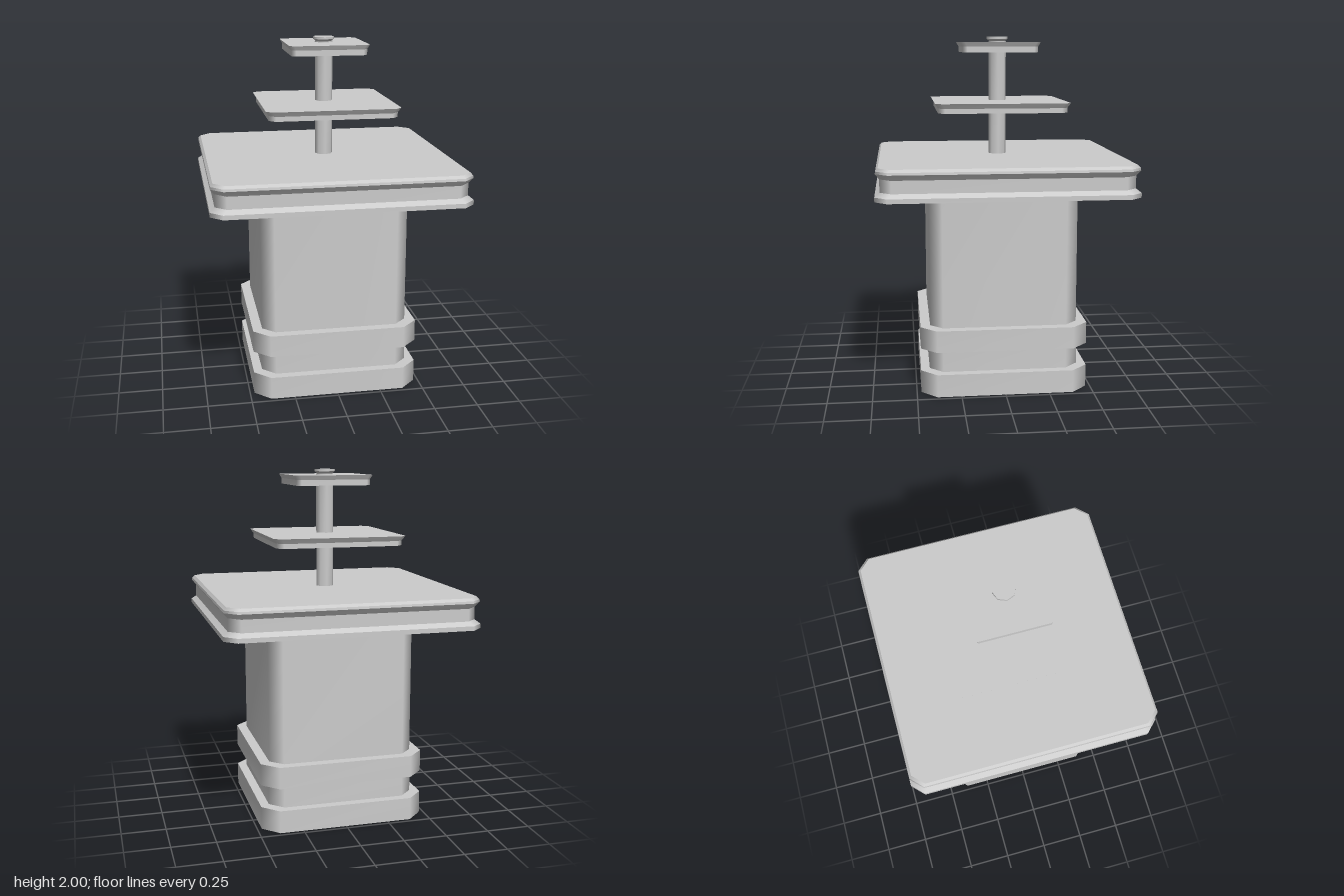
import * as THREE from 'three';

const grey = new THREE.MeshStandardMaterial({ color: 0xcccccc, side: THREE.DoubleSide });

// Square with cut corners: half width r, corner cut c, counter-clockwise from above
function ring(r, c) {
  const k = r - c;
  return [[r, k], [r, -k], [k, -r], [-k, -r], [-r, -k], [-r, k], [-k, r], [k, r]];
}

// Regular octagon with corners on the axes
function octagon(r) {
  return Array.from({ length: 8 }, (_, i) => [r * Math.cos(i * Math.PI / 4), -r * Math.sin(i * Math.PI / 4)]);
}

// Loft a profile of [radius, y, corner] upward; each band is smooth around, crisp to its neighbours
function loft(name, profile, outline = ring) {
  const pos = [], index = [];
  for (let j = 0; j + 1 < profile.length; j++) {
    const base = pos.length / 3;
    for (const [r, y, c = 0] of [profile[j], profile[j + 1]]) {
      for (const [x, z] of outline(r, c)) pos.push(x, y, z);
    }
    for (let i = 0; i < 8; i++) {
      const a = base + i, b = base + (i + 1) % 8;
      if (profile[j][0] > 0) index.push(a, b, b + 8);
      if (profile[j + 1][0] > 0) index.push(a, b + 8, a + 8);
    }
  }
  const geo = new THREE.BufferGeometry();
  geo.setAttribute('position', new THREE.Float32BufferAttribute(pos, 3));
  geo.setIndex(index);
  geo.computeVertexNormals();
  const mesh = new THREE.Mesh(geo, grey);
  mesh.name = name;
  return mesh;
}

// Thin tier with a flared upper lip
function tier(name, r, lip, y0, y1, y2, c) {
  return loft(name, [[0, y0], [r, y0, c], [r, y1, c], [lip, y2, c], [0, y2]]);
}

export function createModel() {
  const group = new THREE.Group();

  // Hollow body, open at the bottom, with two raised bands
  group.add(loft('body', [
    [0.475, 0, 0.09], [0.475, 0.13, 0.09],
    [0.425, 0.13, 0.075], [0.425, 0.26, 0.075],
    [0.475, 0.26, 0.09], [0.475, 0.385, 0.09],
    [0.42, 0.385, 0.07], [0.42, 1.15, 0.07],
  ]));

  // Wide roof slab with a recessed edge
  group.add(loft('roofSlab', [
    [0.42, 1.15, 0.07], [0.71, 1.15, 0.065], [0.71, 1.175, 0.065],
    [0.683, 1.197, 0.06], [0.683, 1.267, 0.06],
    [0.705, 1.297, 0.065], [0.703, 1.31, 0.065],
    [0.69, 1.325, 0.062], [0, 1.325],
  ]));

  // Tiers on the mast
  group.add(tier('lowerTier', 0.36, 0.377, 1.583, 1.61, 1.637, 0.036));
  group.add(tier('upperTier', 0.213, 0.226, 1.913, 1.945, 1.97, 0.024));

  // Mast and its small finial
  group.add(loft('mast', [[0.051, 1.32], [0.051, 1.975]], octagon));
  group.add(loft('finial', [[0.045, 1.965], [0.045, 1.975], [0.061, 1.988], [0.061, 2], [0, 2]], octagon));

  return group;
}
